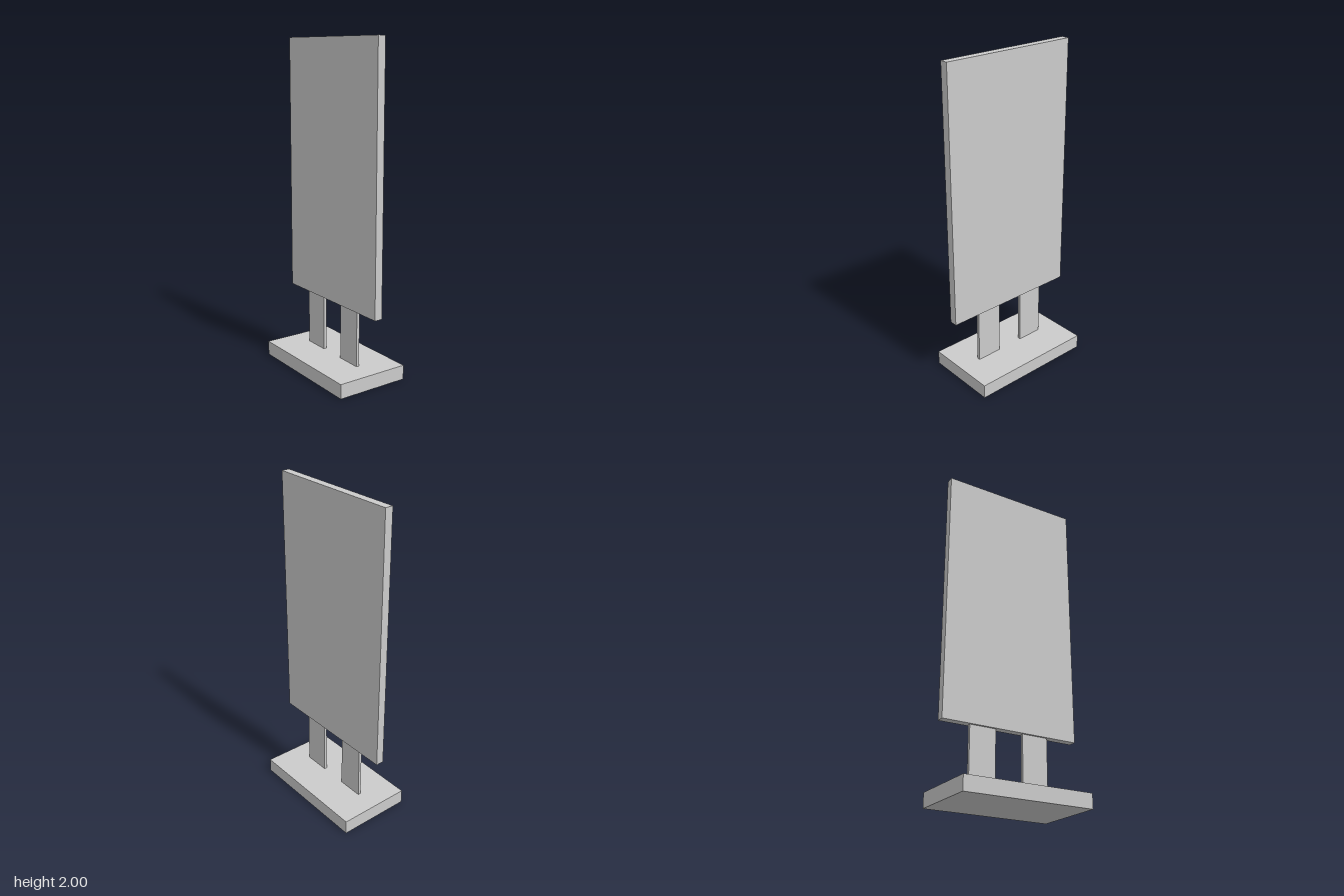
import * as THREE from 'three';

export function createModel() {
  const model = new THREE.Group();
  const material = new THREE.MeshStandardMaterial({ color: 0xcccccc });

  // Adds a box spanning the given [min, max] ranges.
  function addBox(name, [x0, x1], [y0, y1], [z0, z1]) {
    const mesh = new THREE.Mesh(new THREE.BoxGeometry(x1 - x0, y1 - y0, z1 - z0), material);
    mesh.position.set((x0 + x1) / 2, (y0 + y1) / 2, (z0 + z1) / 2);
    mesh.name = name;
    model.add(mesh);
  }

  const baseTop = 0.088;
  const panelBottom = 0.432;

  // Slab on the ground
  addBox('base', [-0.23, 0.23], [0, baseTop], [-0.403, 0.39]);

  // Two thin flat posts
  addBox('frontPost', [-0.011, 0.008], [baseTop, panelBottom], [0.082, 0.246]);
  addBox('backPost', [-0.011, 0.008], [baseTop, panelBottom], [-0.257, -0.093]);

  // Upright sign panel
  addBox('signPanel', [-0.025, 0.024], [panelBottom, 2], [-0.433, 0.433]);

  return model;
}
